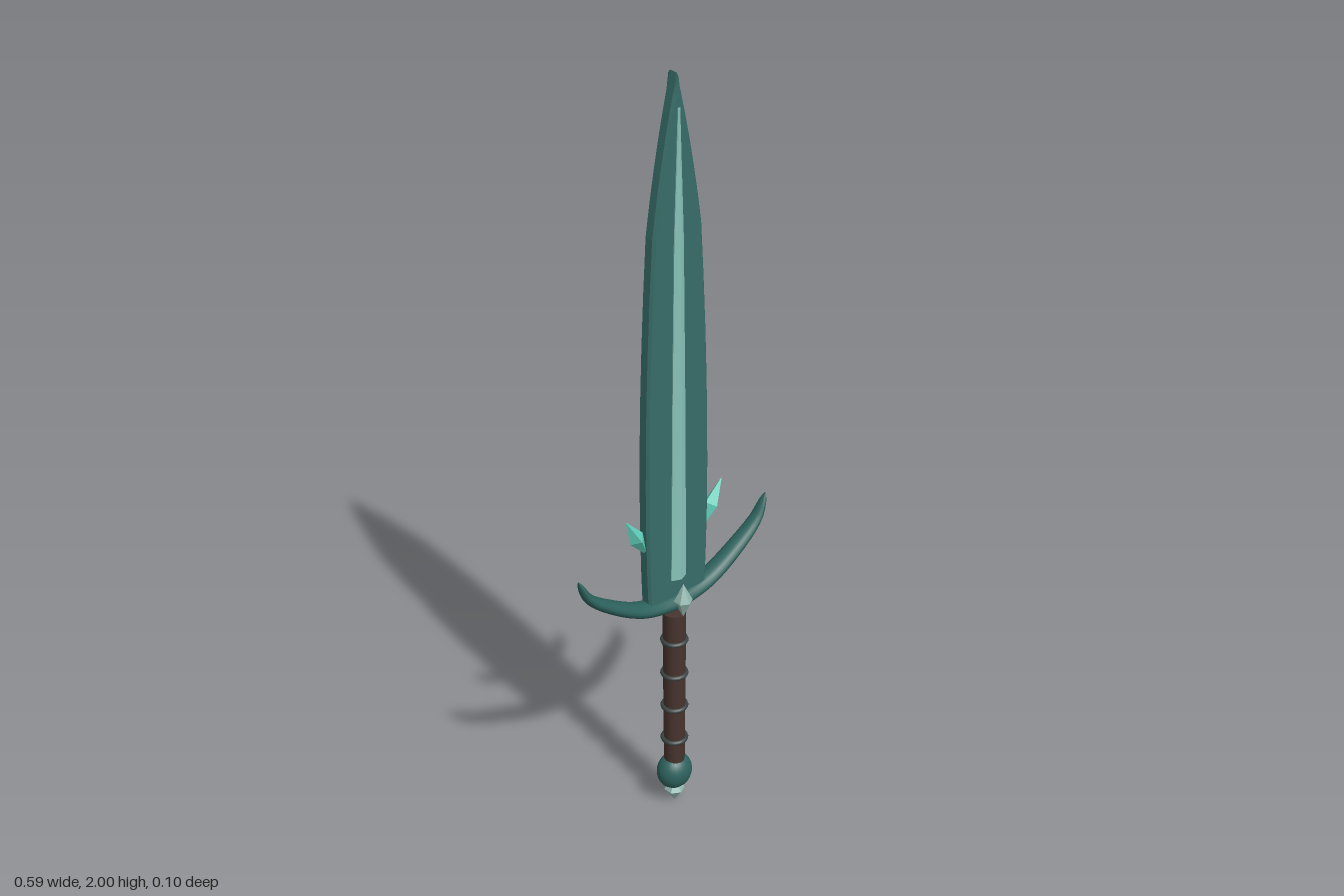
import * as THREE from 'three';

const Z = -0.009; // mid-plane of the sword

const mat = (name, color, flatShading = false) => {
  const m = new THREE.MeshStandardMaterial({ color, flatShading });
  m.name = name;
  return m;
};

// Skin a list of equal-length rings (counter-clockwise seen from the far end)
function loft(rings) {
  const n = rings[0].length, pos = [], idx = [];
  rings.forEach(r => r.forEach(p => pos.push(...p)));
  for (let i = 0; i < rings.length - 1; i++) {
    for (let j = 0; j < n; j++) {
      const a = i * n + j, b = i * n + (j + 1) % n;
      idx.push(a, b, b + n, a, b + n, a + n);
    }
  }
  const last = (rings.length - 1) * n;
  for (let j = 1; j < n - 1; j++) {
    idx.push(0, j + 1, j, last, last + j, last + j + 1);
  }
  const g = new THREE.BufferGeometry();
  g.setAttribute('position', new THREE.Float32BufferAttribute(pos, 3));
  g.setIndex(idx);
  g.computeVertexNormals();
  return g;
}

export function createModel() {
  const root = new THREE.Group();
  const steel = mat('darkTeal', 0x376c68);
  const guardMat = mat('guardTeal', 0x2d625d);
  const ridgeMat = mat('paleTeal', 0x8ac4ba, true);
  const crystalMat = mat('brightCrystal', 0x5fcdb8, true);
  const gemMat = mat('paleGem', 0x92b8b0, true);
  const grip = mat('brownLeather', 0x47342e);
  const band = mat('darkBand', 0x3b4442);

  const add = (name, geo, material, x = 0, y = 0, z = Z) => {
    const m = new THREE.Mesh(geo, material);
    m.name = name;
    m.position.set(x, y, z);
    root.add(m);
    return m;
  };

  // Blade: bevelled outline
  const s = new THREE.Shape();
  s.moveTo(-0.089, 0.635);
  s.lineTo(0.089, 0.635);
  s.quadraticCurveTo(0.108, 1.05, 0.072, 1.62);
  s.quadraticCurveTo(0.045, 1.82, 0, 2);
  s.quadraticCurveTo(-0.045, 1.82, -0.072, 1.62);
  s.quadraticCurveTo(-0.108, 1.05, -0.089, 0.635);
  const blade = new THREE.ExtrudeGeometry(s, {
    depth: 0.022, bevelEnabled: true, bevelThickness: 0.006, bevelSize: 0.006,
    bevelOffset: -0.006, bevelSegments: 1, curveSegments: 8,
  });
  blade.translate(0, 0, -0.011);
  add('blade', blade, steel, 0, 0, -0.011);

  // Raised central ridge on both faces: [height, half width, half depth]
  const ridge = [[0.69, 0.023, 0.026], [1.2, 0.019, 0.026], [1.6, 0.014, 0.024], [1.92, 0.003, 0.019]]
    .map(([y, w, d]) => [
      [w, y, 0.016], [w, y, -0.016], [0, y, -d], [-w, y, -0.016], [-w, y, 0.016], [0, y, d],
    ]);
  add('bladeRidge', loft(ridge), ridgeMat, 0, 0, -0.008);

  // Upswept crossguard: elliptical sections along a curve, tapering to the tips
  const half = [[0.1, 0.633], [0.2, 0.688], [0.265, 0.742], [0.294, 0.8]];
  const path = new THREE.CatmullRomCurve3([
    ...half.map(([x, y]) => new THREE.Vector3(-x, y, 0)).reverse(),
    new THREE.Vector3(0, 0.618, 0),
    ...half.map(([x, y]) => new THREE.Vector3(x, y, 0)),
  ]);
  const rings = [];
  for (let i = 0; i <= 40; i++) {
    const p = path.getPointAt(i / 40), t = path.getTangentAt(i / 40);
    const k = Math.abs(i / 20 - 1);
    const taper = Math.sqrt(Math.max(0.01, 1 - k ** 5));
    const h = (0.021 - 0.007 * k) * taper, d = (0.031 - 0.01 * k) * taper;
    rings.push(Array.from({ length: 16 }, (_, j) => {
      const a = j / 16 * Math.PI * 2, c = Math.cos(a) * h;
      return [p.x - t.y * c, p.y + t.x * c, Math.sin(a) * d];
    }));
  }
  add('crossguard', loft(rings), guardMat);

  // Side crystals leaning away from the blade
  for (const side of [-1, 1]) {
    const c = add(side > 0 ? 'leftCrystal' : 'rightCrystal',
      new THREE.OctahedronGeometry(1), crystalMat, side * 0.117, 0.845);
    c.scale.set(0.021, 0.07, 0.021);
    c.rotation.z = -side * 0.5;
  }

  // Faceted gem on the front of the guard
  const gem = new THREE.LatheGeometry(
    [[0, -0.048], [0.023, 0], [0, 0.048]].map(p => new THREE.Vector2(...p)), 6);
  add('guardGem', gem, gemMat, 0, 0.632, 0.024);

  // Grip with four bands
  add('grip', new THREE.CylinderGeometry(0.029, 0.026, 0.453, 16), grip, 0, 0.3565);
  for (let i = 0; i < 4; i++) {
    const ring = add('gripBand', new THREE.TorusGeometry(0.029, 0.006, 8, 20), band, 0, 0.2 + i * 0.1);
    ring.rotation.x = Math.PI / 2;
  }

  // Pommel and its pointed end
  add('pommel', new THREE.SphereGeometry(1, 24, 16), guardMat, 0, 0.095)
    .scale.set(0.047, 0.049, 0.041);
  const tip = new THREE.LatheGeometry(
    [[0, -0.036], [0.026, 0], [0, 0.036]].map(p => new THREE.Vector2(...p)), 6);
  add('pommelTip', tip, gemMat, 0, 0.036);

  return root;
}
